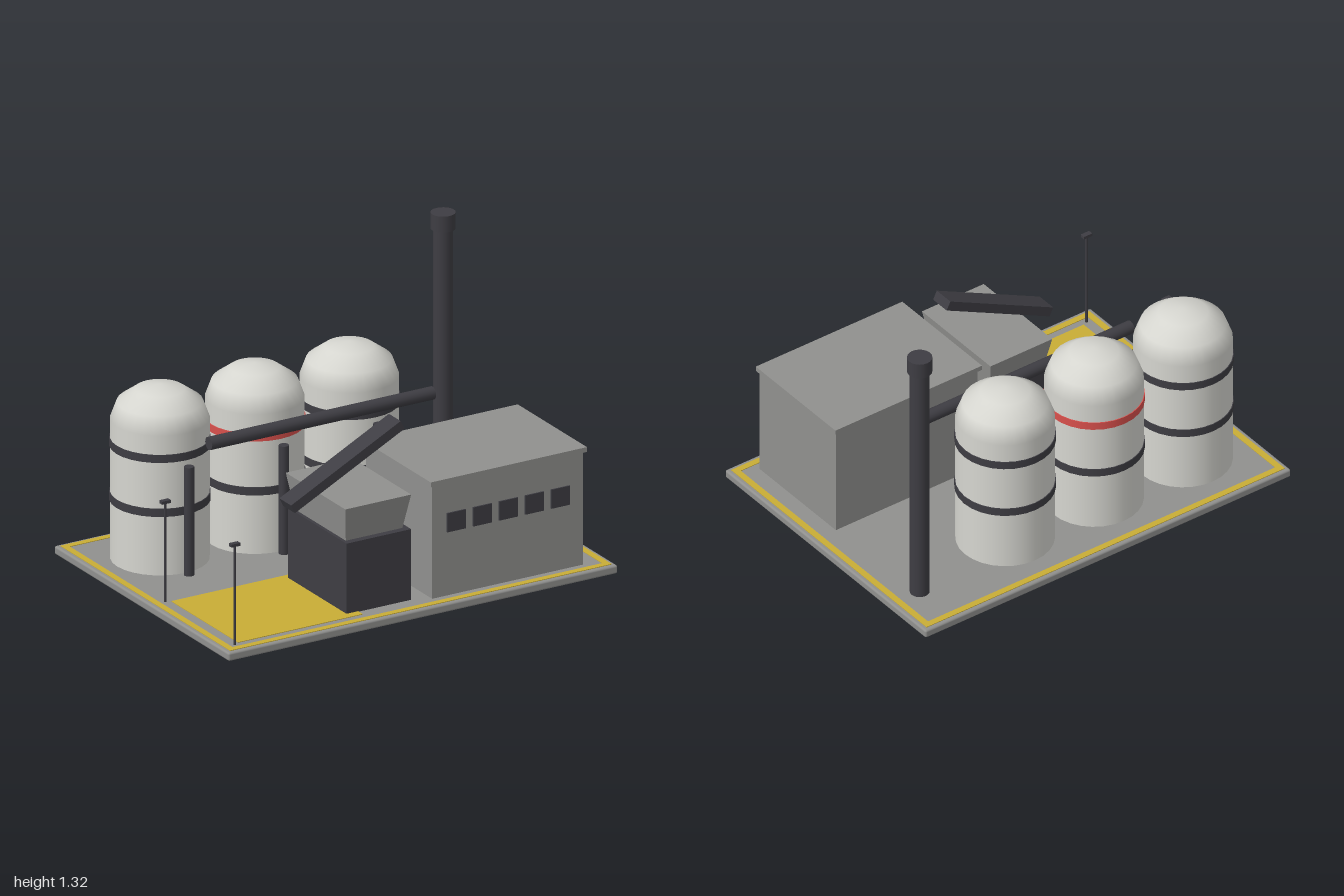
import * as THREE from 'three';
import { RoundedBoxGeometry } from 'three/addons/geometries/RoundedBoxGeometry.js';

function material(name, color) {
  const m = new THREE.MeshStandardMaterial({ color });
  m.name = name;
  return m;
}

export function createModel() {
  const concrete = material('concrete grey', 0x90908e);
  const steel = material('dark steel', 0x3e3d43);
  const tankWhite = material('tank white', 0xd6d6d0);
  const yellow = material('marking yellow', 0xc9ad35);
  const red = material('band red', 0xd9504c);

  const model = new THREE.Group();
  model.name = 'processingPlant';

  const add = (name, geometry, mat, x, y, z, parent = model) => {
    const mesh = new THREE.Mesh(geometry, mat);
    mesh.name = name;
    mesh.position.set(x, y, z);
    parent.add(mesh);
    return mesh;
  };
  // Box given by its limits on each axis
  const box = (name, mat, [x0, x1], [y0, y1], [z0, z1], parent) =>
    add(name, new THREE.BoxGeometry(x1 - x0, y1 - y0, z1 - z0), mat,
      (x0 + x1) / 2, (y0 + y1) / 2, (z0 + z1) / 2, parent);
  // Upright cylinder from y0 to y1
  const post = (name, mat, r, x, z, y0, y1, parent, sides = 20) =>
    add(name, new THREE.CylinderGeometry(r, r, y1 - y0, sides), mat, x, (y0 + y1) / 2, z, parent);
  const group = (name) => {
    const g = new THREE.Group();
    g.name = name;
    model.add(g);
    return g;
  };

  // Ground slab with a painted border and loading pad
  const top = 0.04;
  add('slab', new RoundedBoxGeometry(2, top, 1.48, 2, 0.01), concrete, 0, top / 2, 0);
  const paint = [top - 0.002, top + 0.003];
  const border = group('paintedBorder');
  for (const s of [-1, 1]) {
    box('longStripe', yellow, [-0.98, 0.98], paint, [s * 0.705 - 0.015, s * 0.705 + 0.015], border);
    box('shortStripe', yellow, [s * 0.965 - 0.015, s * 0.965 + 0.015], paint, [-0.69, 0.69], border);
  }
  box('loadingPad', yellow, [-0.9, -0.26], paint, [0.09, 0.655]);

  // Three domed storage tanks, each with two bands and a riser pipe
  const tankZ = -0.387;
  [-0.67, -0.183, 0.303].forEach((x, i) => {
    const tank = group('tank' + (i + 1));
    add('tankBody', new THREE.CylinderGeometry(0.22, 0.22, 0.66, 28, 1, true), tankWhite, x, 0.37, tankZ, tank);
    const dome = new THREE.SphereGeometry(0.22, 28, 3, 0, Math.PI * 2, 0, Math.PI / 2);
    dome.scale(1, 0.16 / 0.22, 1);
    add('tankDome', dome, tankWhite, x, 0.7, tankZ, tank);
    post('lowerBand', steel, 0.224, x, tankZ, 0.318, 0.356, tank, 28);
    post('upperBand', i === 1 ? red : steel, 0.224, x, tankZ, 0.574, 0.611, tank, 28);
    post('riserPipe', steel, 0.023, x, -0.14, top, 0.553, tank, 12);
  });

  // Header pipe running along the tanks
  const header = add('headerPipe', new THREE.CylinderGeometry(0.03, 0.03, 1.15, 16), steel, 0, 0.645, -0.13);
  header.rotation.z = Math.PI / 2;

  // Chimney
  const chimney = group('chimney');
  post('chimneyStack', steel, 0.044, 0.845, -0.487, top, 1.26, chimney);
  post('chimneyCap', steel, 0.056, 0.845, -0.487, 1.246, 1.322, chimney);

  // Control building with an overhanging roof and a row of windows
  const building = group('building');
  box('buildingWalls', concrete, [0.097, 0.873], [top, 0.58], [0.093, 0.655], building);
  box('buildingRoof', concrete, [0.083, 0.885], [0.575, 0.598], [0.08, 0.667], building);
  for (let i = 0; i < 5; i++) {
    const x = 0.219 + i * 0.1337;
    box('window', steel, [x - 0.048, x + 0.048], [0.341, 0.431], [0.654, 0.662], building);
  }

  // Crusher with a hopper that narrows downwards
  const crusher = group('crusher');
  box('crusherHousing', steel, [-0.32, 0.012], [top, 0.375], [0.12, 0.617], crusher);
  const hopper = new THREE.BoxGeometry(0.338, 0.165, 0.505);
  const p = hopper.attributes.position;
  for (let i = 0; i < p.count; i++) {
    if (p.getY(i) < 0) p.setXYZ(i, p.getX(i) * 0.86, p.getY(i), p.getZ(i) * 0.86);
  }
  hopper.computeVertexNormals();
  add('hopper', hopper, concrete, -0.159, 0.4575, 0.368, crusher);

  // Sloping conveyor above the hopper
  const conveyor = add('conveyor', new THREE.BoxGeometry(0.63, 0.045, 0.1), steel, -0.193, 0.643, 0.369);
  conveyor.rotation.z = 0.465;

  // Lamp posts at the edge of the pad
  for (const z of [0.077, 0.666]) {
    const lamp = group('lampPost');
    post('lampPole', steel, 0.006, -0.924, z, top, 0.515, lamp, 8);
    box('lampHead', steel, [-0.947, -0.902], [0.508, 0.522], [z - 0.012, z + 0.012], lamp);
  }

  return model;
}
